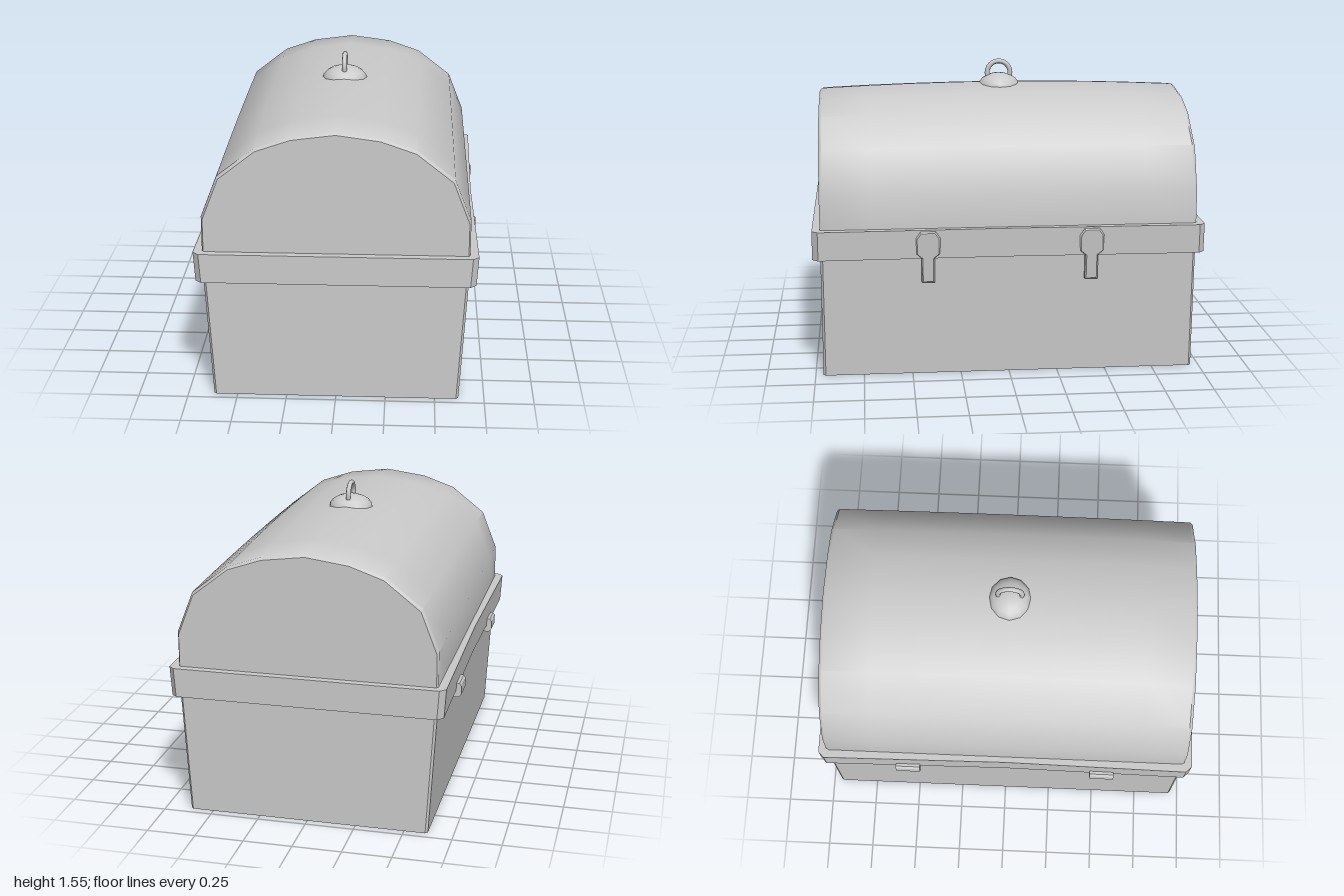
import * as THREE from 'three';
import { toCreasedNormals } from 'three/addons/utils/BufferGeometryUtils.js';

const material = new THREE.MeshStandardMaterial({ color: 0xcccccc });

function add(parent, name, geometry, x = 0, y = 0, z = 0) {
  const mesh = new THREE.Mesh(geometry, material);
  mesh.name = name;
  mesh.position.set(x, y, z);
  parent.add(mesh);
  return mesh;
}

// Skin a list of equal-length rings and cap both ends
function loft(rings, crease = 0.7) {
  const n = rings[0].length;
  const positions = [];
  const tri = (...points) => points.forEach((p) => positions.push(...p));
  for (let i = 0; i < rings.length - 1; i++) {
    for (let j = 0; j < n; j++) {
      const k = (j + 1) % n;
      const a = rings[i][j], b = rings[i][k], c = rings[i + 1][k], d = rings[i + 1][j];
      tri(a, b, c);
      tri(a, c, d);
    }
  }
  const centre = (ring) => [0, 1, 2].map((k) => ring.reduce((s, p) => s + p[k], 0) / n);
  const first = rings[0], last = rings[rings.length - 1];
  for (let j = 0; j < n; j++) {
    const k = (j + 1) % n;
    tri(centre(first), first[k], first[j]);
    tri(centre(last), last[j], last[k]);
  }
  const geometry = new THREE.BufferGeometry();
  geometry.setAttribute('position', new THREE.Float32BufferAttribute(positions, 3));
  return toCreasedNormals(geometry, crease);
}

// Horizontal rectangle with clipped corners and side walls pinched in at the middle
function plan(x, z, y, clip, pinch = 0) {
  const half = [[x - clip, z], [x, z - clip], [x - pinch, 0], [x, clip - z], [x - clip, -z]];
  return [...half, ...half.map(([px, pz]) => [-px, -pz])].map(([px, pz]) => [px, y, pz]);
}

// Vertical arch section of the lid
function arch(z, rise, inset) {
  const half = [[0.66, 0.77], [0.66, 0.96], [0.578, 1.17], [0.395, 1.313], [0.22, 1.373]];
  const full = [...half, [0, 1.402], ...half.slice().reverse().map(([x, y]) => [-x, y])];
  return full.map(([x, y]) => {
    const lift = rise * Math.max(0, (y - 0.96) / 0.44);
    return [x * (1 - inset), y + lift - (y > 0.8 ? inset : 0), z];
  });
}

// Latch plate: broad rounded head with a narrow tab below
function latchGeometry() {
  const half = [[0.026, -0.13], [0.026, -0.005], [0.055, 0.02], [0.055, 0.1], [0.035, 0.13]];
  const points = [...half, ...half.slice().reverse().map(([x, y]) => [-x, y])];
  const geometry = new THREE.ExtrudeGeometry(
    new THREE.Shape(points.map(([x, y]) => new THREE.Vector2(x, y))),
    { depth: 0.018, bevelThickness: 0.007, bevelSize: 0.007, bevelSegments: 1 }
  );
  geometry.rotateY(Math.PI / 2);
  return toCreasedNormals(geometry, 0.5);
}

// Hinge: short extruded block with a rounded outer edge
function hingeGeometry() {
  const points = [[0.64, 0.595], [0.7, 0.595], [0.715, 0.61], [0.715, 0.655], [0.705, 0.67], [0.64, 0.67]];
  const geometry = new THREE.ExtrudeGeometry(
    new THREE.Shape(points.map(([x, y]) => new THREE.Vector2(x, y))),
    { depth: 0.13, bevelEnabled: false }
  );
  geometry.translate(0, 0, -0.065);
  geometry.rotateY(Math.PI);
  return geometry;
}

export function createModel() {
  const chest = new THREE.Group();
  chest.name = 'chest';

  // Tapered box and the rim band around it
  add(chest, 'body', loft([plan(0.62, 0.96, 0, 0.012), plan(0.657, 0.96, 0.64, 0.012)]));
  add(chest, 'rimBand', loft([plan(0.693, 1, 0.63, 0.03, 0.013), plan(0.703, 1, 0.78, 0.03, 0.013)]));

  // Arched lid, crowned along its length
  const sections = [arch(-0.96, 0, 0.012)];
  for (let i = -4; i <= 4; i++) {
    const t = i / 4;
    sections.push(arch(0.945 * t, 0.025 * (1 - t * t), 0));
  }
  sections.push(arch(0.96, 0, 0.012));
  add(chest, 'lid', loft(sections));

  // Domed mount and carrying ring on top
  const dome = new THREE.SphereGeometry(0.12, 12, 5, 0, Math.PI * 2, 0, Math.PI / 2);
  dome.scale(1, 0.6, 0.93);
  add(chest, 'ringMount', dome, 0, 1.403, 0);
  const ring = new THREE.TorusGeometry(0.062, 0.013, 8, 24);
  ring.rotateY(Math.PI / 2);
  add(chest, 'ring', ring, 0, 1.475, 0);

  // Two latches on the left, two hinges on the right
  for (const side of [-1, 1]) {
    const latch = add(chest, 'latch', latchGeometry(), 0.664, 0.637, side * 0.417);
    latch.rotation.z = -0.11;
    add(chest, 'hinge', hingeGeometry(), 0, 0, side * 0.525);
  }
  return chest;
}
